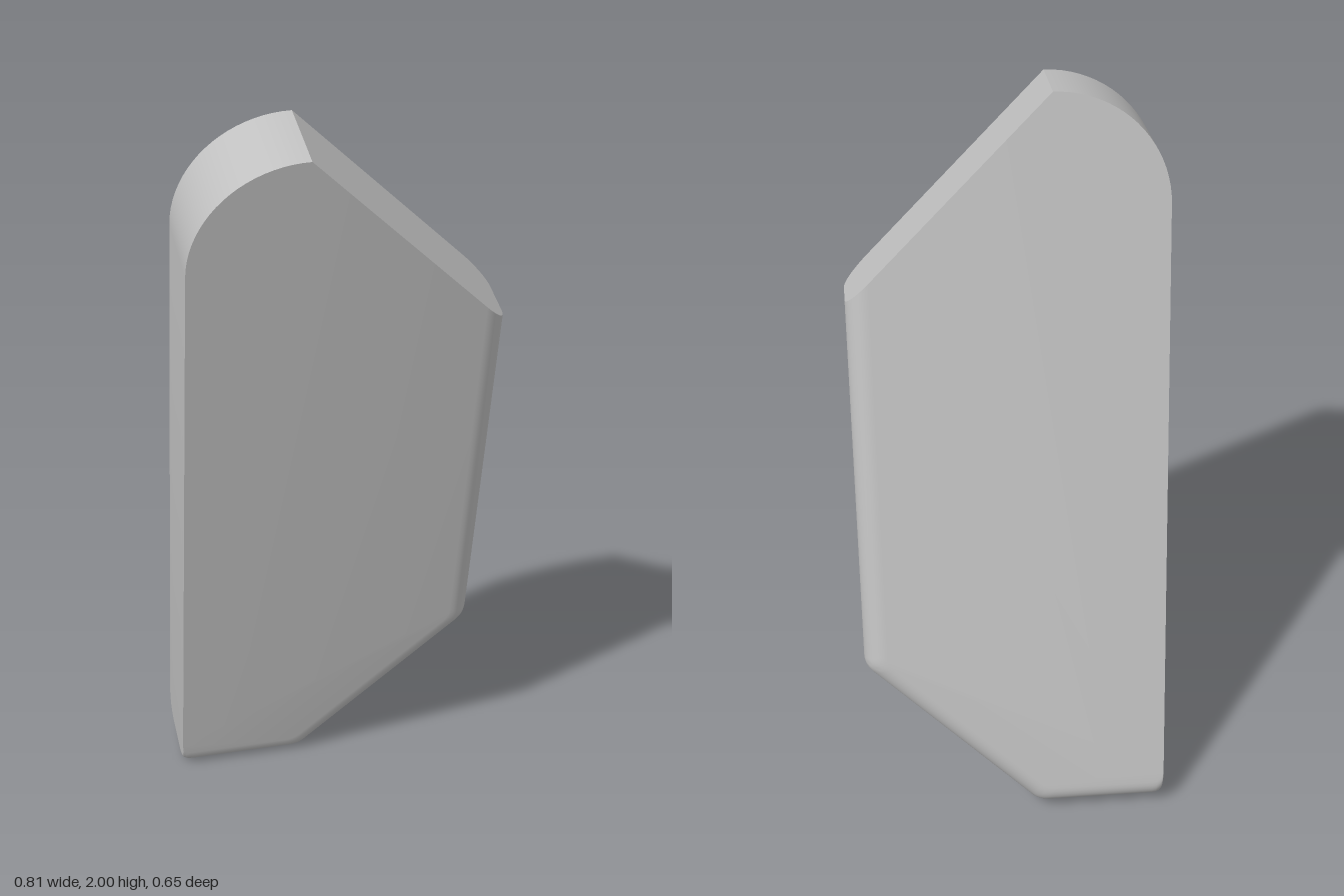
import * as THREE from 'three';
import { toCreasedNormals } from 'three/addons/utils/BufferGeometryUtils.js';

const HALF = 0.403;     // half width
const LENGTH = 2.01;    // length along the leaning plate
const THICK = 0.2236;
const FILLET = 0.06;
const TILT = THREE.MathUtils.degToRad(12.8);

// Outline of one slice; only the right, lower right and bottom edges move in by d
function outline(d) {
  const points = [];
  const round = (x, y, before, after, size) => {
    const p = new THREE.Vector2(x, y);
    const a = p.clone().addScaledVector(before, size);
    const b = p.clone().addScaledVector(after, size);
    points.push(...new THREE.QuadraticBezierCurve(a, p, b).getPoints(5));
  };
  const up = new THREE.Vector2(0, 1), right = new THREE.Vector2(1, 0), left = new THREE.Vector2(-1, 0);
  const slope = new THREE.Vector2(Math.SQRT1_2, Math.SQRT1_2);
  const down = slope.clone().negate();
  const k = d * Math.SQRT2;
  const edge = HALF - d;

  round(-HALF, d, up, right, 0.03);
  round(-0.057 + d - k, d, left, slope, 0.025);
  round(edge, edge + 0.057 + k, down, up, 0.025);
  points.push(new THREE.Vector2(edge, 1.895 - edge));

  // Rounded top corner, from the apex down to the left edge
  const radius = 0.288, steps = 20;
  for (let i = 0; i <= steps; i++) {
    const t = Math.PI / 2 * (1 + i / steps);
    points.push(new THREE.Vector2(-0.115 + radius * Math.cos(t), LENGTH - radius + radius * Math.sin(t)));
  }
  return points;
}

function plateGeometry() {
  // Slices from back to front, following the fillet on both faces
  const slices = [], steps = 8;
  for (let i = 0; i <= steps; i++) {
    const t = Math.PI / 2 * i / steps;
    slices.push([-THICK + FILLET * (1 - Math.cos(t)), FILLET * (1 - Math.sin(t))]);
  }
  for (let i = steps; i >= 0; i--) {
    const t = Math.PI / 2 * i / steps;
    slices.push([-FILLET * (1 - Math.cos(t)), FILLET * (1 - Math.sin(t))]);
  }

  const positions = [], index = [];
  let n = 0;
  for (const [z, inset] of slices) {
    const ring = outline(inset);
    n = ring.length;
    for (const p of ring) positions.push(p.x, p.y, z);
  }

  // Side walls
  for (let s = 0; s < slices.length - 1; s++) {
    for (let i = 0; i < n; i++) {
      const j = (i + 1) % n;
      const a = s * n + i, b = s * n + j, c = b + n, d = a + n;
      index.push(a, b, c, a, c, d);
    }
  }
  // Back and front faces
  const front = (slices.length - 1) * n;
  for (let i = 1; i < n - 1; i++) {
    index.push(0, i + 1, i);
    index.push(front, front + i, front + i + 1);
  }

  const geometry = new THREE.BufferGeometry();
  geometry.setAttribute('position', new THREE.Float32BufferAttribute(positions, 3));
  geometry.setIndex(index);
  return toCreasedNormals(geometry, THREE.MathUtils.degToRad(25));
}

export function createModel() {
  const group = new THREE.Group();
  group.name = 'leaningPlate';

  const grey = new THREE.MeshStandardMaterial({ color: 0xc0c0c0 });
  grey.name = 'light grey';

  const plate = new THREE.Mesh(plateGeometry(), grey);
  plate.name = 'plate';
  plate.rotation.x = TILT;
  plate.position.set(0, -0.0116, -0.119);
  group.add(plate);

  return group;
}
